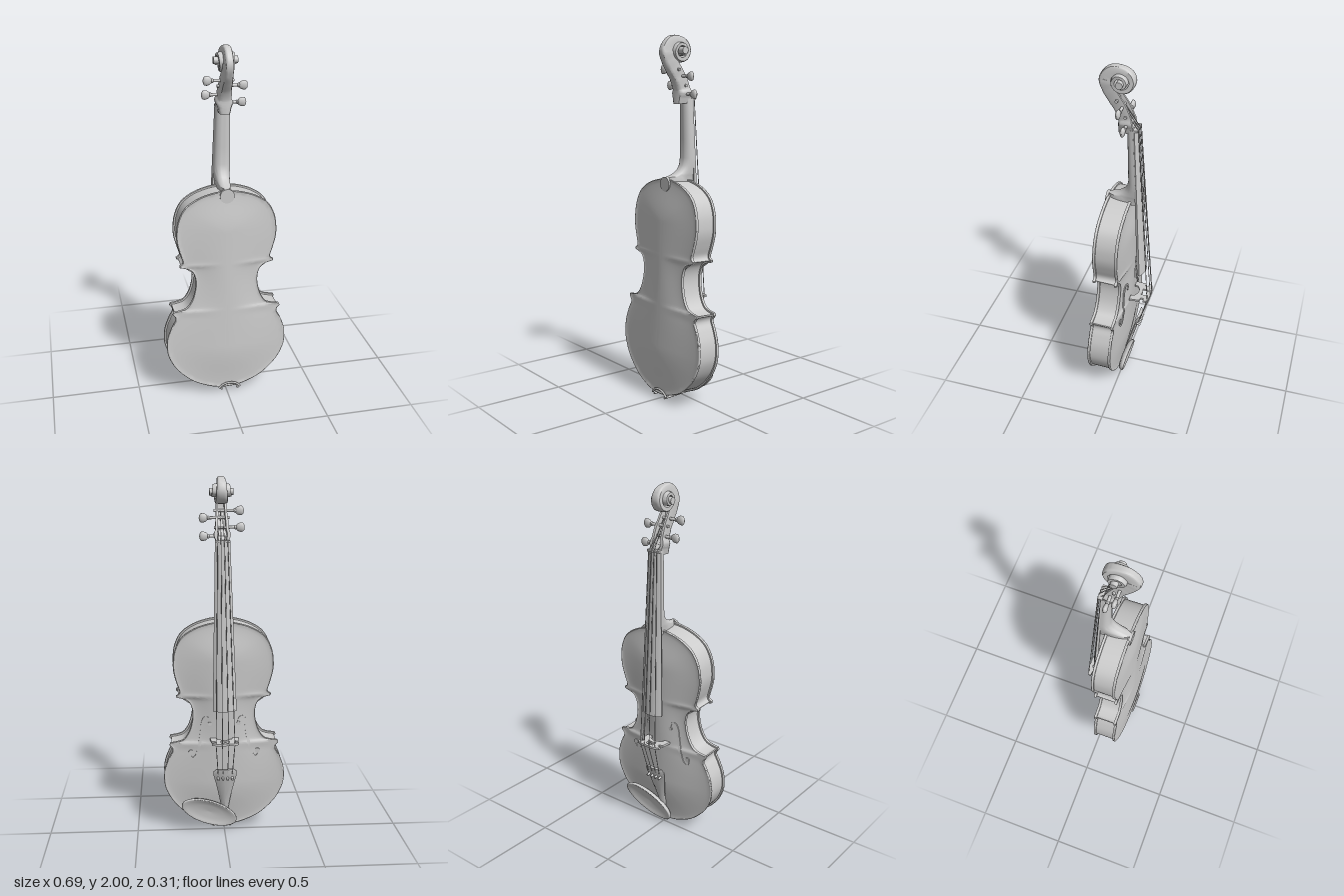
import * as THREE from 'three';
import { toCreasedNormals } from 'three/addons/utils/BufferGeometryUtils.js';

const V2 = (x, y) => new THREE.Vector2(x, y);
const V3 = (x, y, z) => new THREE.Vector3(x, y, z);
const material = new THREE.MeshStandardMaterial({ color: 0xcccccc, side: THREE.DoubleSide });

function add(parent, name, geometry, x = 0, y = 0, z = 0) {
  const mesh = new THREE.Mesh(geometry, material);
  mesh.name = name;
  mesh.position.set(x, y, z);
  parent.add(mesh);
  return mesh;
}

// Skin closed cross-sections (arrays of Vector3), with capped ends; faces are turned outward
function loft(sections, crease = 0.7) {
  const n = sections[0].length, points = sections.flat(), index = [];
  for (let i = 0; i < sections.length - 1; i++) {
    for (let j = 0; j < n; j++) {
      const a = i * n + j, b = i * n + (j + 1) % n;
      index.push(a, b, a + n, b, b + n, a + n);
    }
  }
  [0, sections.length - 1].forEach((row) => {
    const mid = V3(0, 0, 0);
    sections[row].forEach((p) => mid.addScaledVector(p, 1 / n));
    points.push(mid);
    for (let j = 0; j < n; j++) {
      const a = row * n + j, b = row * n + (j + 1) % n, c = points.length - 1;
      index.push(...(row ? [a, b, c] : [b, a, c]));
    }
  });
  let volume = 0;
  for (let i = 0; i < index.length; i += 3) {
    volume += points[index[i]].dot(points[index[i + 1]].clone().cross(points[index[i + 2]]));
  }
  if (volume < 0) index.reverse();
  const geometry = new THREE.BufferGeometry().setFromPoints(points);
  geometry.setIndex(index);
  return toCreasedNormals(geometry, crease);
}

function rod(parent, name, a, b, r, sides = 8) {
  const mesh = add(parent, name, new THREE.CylinderGeometry(r, r, a.distanceTo(b), sides));
  mesh.position.copy(a).lerp(b, 0.5);
  mesh.quaternion.setFromUnitVectors(V3(0, 1, 0), b.clone().sub(a).normalize());
}

// Body outline: lower bout, waist and upper bout meeting at sharp corners
const spline = (pts, n) => new THREE.SplineCurve(pts.map((p) => V2(...p))).getPoints(n);
const half = [
  ...spline([[0, 0.025], [0.06, 0.03], [0.13, 0.052], [0.21, 0.095], [0.29, 0.175], [0.332, 0.255],
    [0.343, 0.32], [0.335, 0.39], [0.31, 0.455], [0.29, 0.497], [0.308, 0.526]], 36),
  ...spline([[0.303, 0.54], [0.255, 0.548], [0.222, 0.565], [0.192, 0.615], [0.175, 0.69],
    [0.18, 0.75], [0.205, 0.79], [0.262, 0.808]], 26),
  ...spline([[0.264, 0.82], [0.245, 0.838], [0.258, 0.885], [0.274, 0.945], [0.278, 1.0], [0.268, 1.075],
    [0.232, 1.148], [0.165, 1.197], [0.08, 1.226], [0, 1.236]], 32),
];
const outline = [...half, ...half.slice(1, -1).reverse().map((p) => V2(-p.x, p.y))];

// Arching height of a plate, s = 1 at the edge and 0 on the spine
const archShape = (s) => {
  const t = THREE.MathUtils.clamp((0.95 - s) / 0.95, 0, 1);
  return Math.sin(t * Math.PI / 2) ** 1.6;
};
const ring = (s, z) => outline.map((p) => {
  const c = THREE.MathUtils.clamp(p.y, 0.3, 1.0);
  return V3(p.x * s, c + (p.y - c) * s, z);
});

function plate(zEdge, dir, arch) {
  const rings = [[0.02, -0.015], [0.995, -0.015], [1, -0.012], [1.004, -0.007], [1, -0.002], [0.987, 0], [0.97, -0.002]]
    .map(([s, h]) => ring(s, zEdge + dir * h));
  for (let i = 0; i <= 16; i++) {
    const s = 0.95 - 0.93 * i / 16;
    rings.push(ring(s, zEdge + dir * (arch * archShape(s) - 0.003 * s)));
  }
  return loft(rings, 0.9);
}

const TOP = { z: 0.008, arch: 0.027 };
function topZ(x, y) {
  const i = Math.max(1, half.findIndex((p) => p.y >= y));
  const a = half[i - 1], b = half[i];
  const width = THREE.MathUtils.lerp(a.x, b.x, (y - a.y) / (b.y - a.y));
  return TOP.z - TOP.arch * archShape(Math.abs(x) / width);
}

function createBody() {
  const body = new THREE.Group();
  body.name = 'body';
  add(body, 'topPlate', plate(TOP.z, -1, TOP.arch));
  add(body, 'backPlate', plate(0.146, 1, 0.018));
  // Ribs, set in from the plate edges
  const n = outline.length;
  const inset = outline.map((p, i) => {
    const t = outline[(i + 1) % n].clone().sub(outline[(i + n - 1) % n]).normalize();
    return V2(p.x - t.y * 0.01, p.y + t.x * 0.01);
  });
  add(body, 'ribs', loft([0.018, 0.136].map((z) => inset.map((p) => V3(p.x, p.y, z)))));
  // Sound holes: thin curved ribbons with round ends lying on the top
  for (const side of [-1, 1]) {
    const path = spline([[0.078, 0.655], [0.085, 0.685], [0.108, 0.69], [0.122, 0.655], [0.128, 0.6], [0.14, 0.53],
      [0.155, 0.47], [0.178, 0.448], [0.193, 0.465], [0.19, 0.485]], 40);
    add(body, 'soundHole', loft(path.map((p, i) => {
      const t = path[Math.min(i + 1, 40)].clone().sub(path[Math.max(i - 1, 0)]).normalize();
      const w = 0.003 + 0.005 * Math.sin(Math.PI * i / 40);
      return [[-1, -1], [1, -1], [1, 1], [-1, 1]].map(([u, v]) => {
        const x = p.x - t.y * w * u, y = p.y + t.x * w * u;
        return V3(side * x, y, topZ(x, y) + v * 0.0025);
      });
    })));
    for (const [x, y, r] of [[0.08, 0.655, 0.011], [0.188, 0.485, 0.014]]) {
      add(body, 'soundHoleEnd', new THREE.CylinderGeometry(r, r, 0.006, 16).rotateX(Math.PI / 2), side * x, y, topZ(x, y));
    }
  }
  body.rotation.x = -0.04;
  return body;
}

// Peg box and scroll: one strip [z, y, half thickness, half width, slot depth] winding into the eye
function createScroll() {
  const rows = [[-0.01, 1.645, 0.044, 0.03, 0], [-0.008, 1.675, 0.042, 0.036, 0.1], [-0.003, 1.72, 0.037, 0.036, 1.1],
    [0.018, 1.775, 0.036, 0.033, 1.1], [0.05, 1.825, 0.037, 0.029, 1], [0.082, 1.875, 0.037, 0.025, 0.2]];
  for (const [deg, r, t, w] of [[0, 0.118, 0.032, 0.022], [45, 0.098, 0.025, 0.021], [90, 0.077, 0.018, 0.022],
    [135, 0.073, 0.016, 0.025], [180, 0.071, 0.015, 0.028], [225, 0.067, 0.014, 0.031], [270, 0.063, 0.013, 0.034],
    [315, 0.058, 0.012, 0.037], [360, 0.053, 0.011, 0.04], [420, 0.047, 0.01, 0.044], [480, 0.041, 0.009, 0.047],
    [540, 0.036, 0.008, 0.05], [600, 0.031, 0.008, 0.053], [660, 0.027, 0.008, 0.056]]) {
    const a = deg * Math.PI / 180;
    rows.push([0.015 + (r - t) * Math.cos(a), 1.925 + (r - t) * Math.sin(a), t, w, 0]);
  }
  const path = new THREE.CatmullRomCurve3(rows.map((r) => V3(r[0], r[1], r[2])));
  const size = new THREE.CatmullRomCurve3(rows.map((r) => V3(r[3], r[4], 0)));
  const sections = [];
  for (let i = 0; i <= 110; i++) {
    const u = i / 110, c = path.getPoint(u), s = size.getPoint(u);
    const t = path.getPoint(Math.min(u + 0.004, 1)).sub(path.getPoint(Math.max(u - 0.004, 0)));
    const len = Math.hypot(t.x, t.y), d = Math.max(s.y, 0);
    sections.push([[-1, -0.5], [-0.8, -0.85], [-0.4, -1], [0.4, -1], [0.8, -0.85], [1, -0.5], [1, 1], [0.6, 1],
      [0.55, 1 - d], [-0.55, 1 - d], [-0.6, 1], [-1, 1]].map(([x, k]) =>
      V3(x * s.x, c.y + k * c.z * t.x / len, c.x - k * c.z * t.y / len)));
  }
  return loft(sections);
}

export function createModel() {
  const model = new THREE.Group();
  model.name = 'violin';
  model.add(createBody());

  // Neck with heel: [y, back z, front z, half width]
  add(model, 'neck', loft([[1.67, -0.012, -0.05, 0.038], [1.6, -0.013, -0.053, 0.041], [1.45, -0.016, -0.06, 0.045],
    [1.35, -0.017, -0.066, 0.048], [1.31, -0.009, -0.068, 0.047], [1.285, 0.01, -0.07, 0.044], [1.268, 0.035, -0.071, 0.042],
    [1.256, 0.066, -0.072, 0.04], [1.25, 0.094, -0.072, 0.038], [1.21, 0.1, -0.074, 0.036]].map(([y, back, front, w]) =>
    Array.from({ length: 17 }, (_, i) => {
      const a = Math.PI * i / 16;
      return V3(w * Math.cos(a), y, front + (back - front) * Math.sin(a) ** 0.7);
    }))));
  add(model, 'backButton', new THREE.CylinderGeometry(0.04, 0.04, 0.014, 24).rotateX(Math.PI / 2), 0, 1.212, 0.097);

  // Fingerboard with a curved playing face
  add(model, 'fingerboard', loft([[1.665, 0.041, -0.048, -0.058, -0.068], [0.745, 0.066, -0.082, -0.097, -0.12]].map(([y, w, under, edge, crown]) =>
    [V3(w * 0.9, y, under), V3(-w * 0.9, y, under), ...Array.from({ length: 13 }, (_, i) => {
      const u = i / 6 - 1;
      return V3(u * w, y, crown + (edge - crown) * u * u);
    })])));
  add(model, 'nut', new THREE.BoxGeometry(0.08, 0.012, 0.024), 0, 1.67, -0.062);

  add(model, 'scroll', createScroll());
  add(model, 'scrollEye', new THREE.CylinderGeometry(0.019, 0.019, 0.128, 24).rotateZ(Math.PI / 2), 0, 1.925, 0.015);

  // Tuning pegs: tapered shaft, collar and flattened head
  const pegs = [[1, 1.695, -0.015], [-1, 1.74, -0.01], [1, 1.79, 0.008], [-1, 1.825, 0.035]];
  for (const [side, y, z] of pegs) {
    const peg = new THREE.Group();
    peg.name = 'peg';
    rod(peg, 'pegShaft', V3(-0.042, 0, 0), V3(0.082, 0, 0), 0.008, 14);
    add(peg, 'pegCollar', new THREE.SphereGeometry(0.012, 14, 10).scale(0.6, 1, 1), 0.072);
    const profile = [[0, 0.074], [0.013, 0.077], [0.021, 0.086], [0.025, 0.1], [0.024, 0.112], [0.015, 0.119], [0, 0.122]];
    add(peg, 'pegHead', new THREE.LatheGeometry(profile.map((p) => V2(...p)), 20).rotateZ(-Math.PI / 2).scale(1, 1, 0.5));
    peg.position.set(0, y, z);
    peg.rotation.y = side < 0 ? Math.PI : 0;
    model.add(peg);
  }

  // Bridge standing on the top
  const side = [[0.04, 0.108], [0.075, 0.096], [0.075, 0.08], [0.054, 0.078], [0.054, 0.062], [0.076, 0.058],
    [0.078, 0.03], [0.08, 0], [0.046, 0], [0.04, 0.022], [0.015, 0.036]];
  const bridge = new THREE.Shape([...side, ...side.slice().reverse().map(([x, y]) => [-x, y])].map((p) => V2(...p)));
  bridge.holes.push(new THREE.Path([[0, 0.06], [0.024, 0.054], [0.024, 0.085], [0.012, 0.09], [0, 0.08],
    [-0.012, 0.09], [-0.024, 0.085], [-0.024, 0.054]].map((p) => V2(...p))));
  add(model, 'bridge', new THREE.ExtrudeGeometry(bridge, { depth: 0.012, bevelEnabled: false })
    .rotateX(-Math.PI / 2).rotateX(-Math.PI / 2).rotateX(Math.PI / 2), 0, 0.56, -0.042).rotation.set(0, 0, 0);

  // Tailpiece, widening toward the bridge
  add(model, 'tailpiece', loft([[0.09, 0.014, -0.006], [0.2, 0.03, -0.036], [0.3, 0.05, -0.064], [0.36, 0.065, -0.08],
    [0.385, 0.066, -0.087], [0.4, 0.05, -0.091]].map(([y, w, z]) => [V3(w, y, z + 0.012), V3(-w, y, z + 0.012),
    ...[-1, -0.6, 0, 0.6, 1].map((u) => V3(u * w, y, z + 0.014 * u * u - 0.008))])));
  rod(model, 'tailGut', V3(0, 0.1, -0.006), V3(0, 0.02, 0.006), 0.006);
  rod(model, 'tailGut', V3(0, 0.02, 0.006), V3(0, 0.014, 0.08), 0.005);
  add(model, 'endButton', new THREE.CylinderGeometry(0.014, 0.012, 0.022, 18), 0, 0.012, 0.08);

  // Strings from pegs over nut and bridge to the fine tuners
  for (let i = 0; i < 4; i++) {
    const u = (i - 1.5) / 1.5, peg = pegs[[0, 2, 3, 1][i]];
    const nut = V3(u * 0.027, 1.672, -0.076), tail = V3(u * 0.04, 0.375, -0.092);
    const crest = V3(u * 0.052, 0.566, -0.153 + 0.011 * u * u);
    const stops = [V3(u * 0.015, peg[1], peg[2] - 0.008), nut, crest, tail];
    for (let k = 0; k < 3; k++) rod(model, 'string', stops[k], stops[k + 1], 0.0022, 6);
    rod(model, 'fineTuner', V3(u * 0.04, 0.35, -0.07), V3(u * 0.04, 0.342, -0.1), 0.007, 12);
  }

  // Chin rest: dished oval with its clamp
  const dish = [[0, -0.016], [0.7, -0.016], [0.93, -0.008], [1, 0.006], [0.99, 0.014], [0.94, 0.017], [0.8, 0.011],
    [0.5, 0.005], [0, 0.002]].map((p) => V2(...p));
  const rest = add(model, 'chinRest', new THREE.LatheGeometry(dish, 48).scale(0.168, 1, 0.075)
    .rotateX(-Math.PI / 2).rotateZ(0.4), 0.09, 0.122, -0.026);
  rest.rotation.x = -0.2;
  for (const x of [-0.03, 0.065]) rod(model, 'clampPost', V3(x, 0.027, -0.01), V3(x, 0.022, 0.15), 0.006, 12);
  const foot = new THREE.CatmullRomCurve3([V3(-0.045, 0.028, 0.148), V3(-0.02, 0.052, 0.151), V3(0.018, 0.061, 0.152),
    V3(0.055, 0.052, 0.151), V3(0.08, 0.028, 0.148)]);
  add(model, 'clampFoot', new THREE.TubeGeometry(foot, 24, 0.006, 8));

  // The instrument leans very slightly to one side
  model.rotation.z = -0.0095;
  model.position.x = -0.003;
  return model;
}
